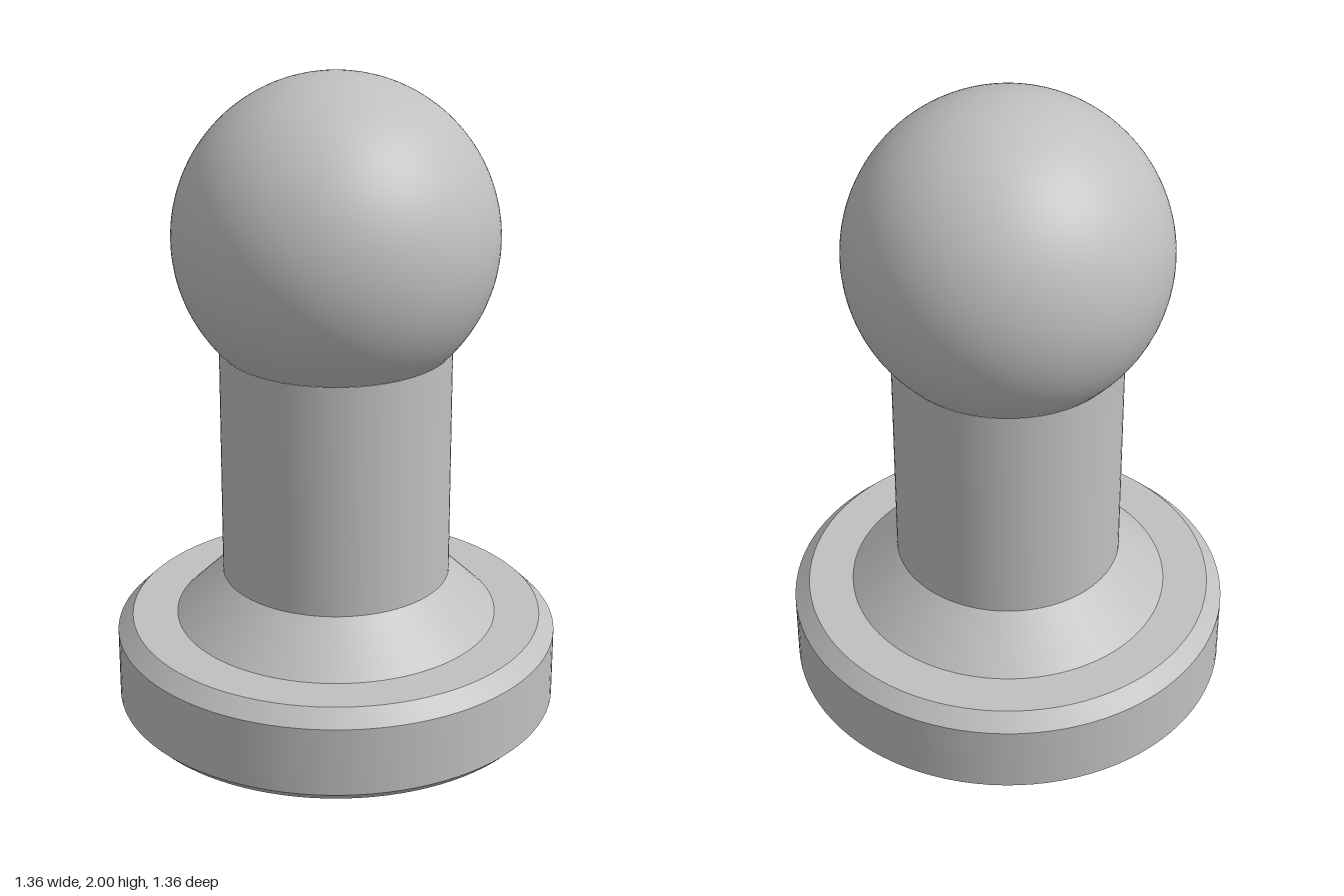
import * as THREE from 'three';
import { toCreasedNormals } from 'three/addons/utils/BufferGeometryUtils.js';

const SEGMENTS = 96;

export function createModel() {
  const group = new THREE.Group();
  group.name = 'ballKnob';

  const grey = new THREE.MeshStandardMaterial({ color: 0xc0c0c0 });
  grey.name = 'grey';

  const add = (name, geometry) => {
    const mesh = new THREE.Mesh(geometry, grey);
    mesh.name = name;
    group.add(mesh);
    return mesh;
  };

  // Turned part from [radius, height] pairs, listed bottom to top, with sharp rims
  const turned = (name, profile) => {
    const points = profile.map(([r, y]) => new THREE.Vector2(r, y));
    return add(name, toCreasedNormals(new THREE.LatheGeometry(points, SEGMENTS), 0.4));
  };

  // Round foot, chamfered at the bottom and top
  turned('base', [[0, 0], [0.653, 0], [0.682, 0.029], [0.682, 0.247], [0.635, 0.295], [0.496, 0.295]]);

  // Cone that joins the foot to the stem
  turned('collar', [[0.496, 0.295], [0.351, 0.44]]);

  turned('stem', [[0.351, 0.44], [0.351, 1.175]]);

  // Ball, cut off where it meets the stem
  const radius = 0.487;
  const cut = Math.PI - Math.asin(0.351 / radius);
  const ball = add('ball', new THREE.SphereGeometry(radius, SEGMENTS, 48, 0, Math.PI * 2, 0, cut));
  ball.position.y = 2 - radius;

  return group;
}
